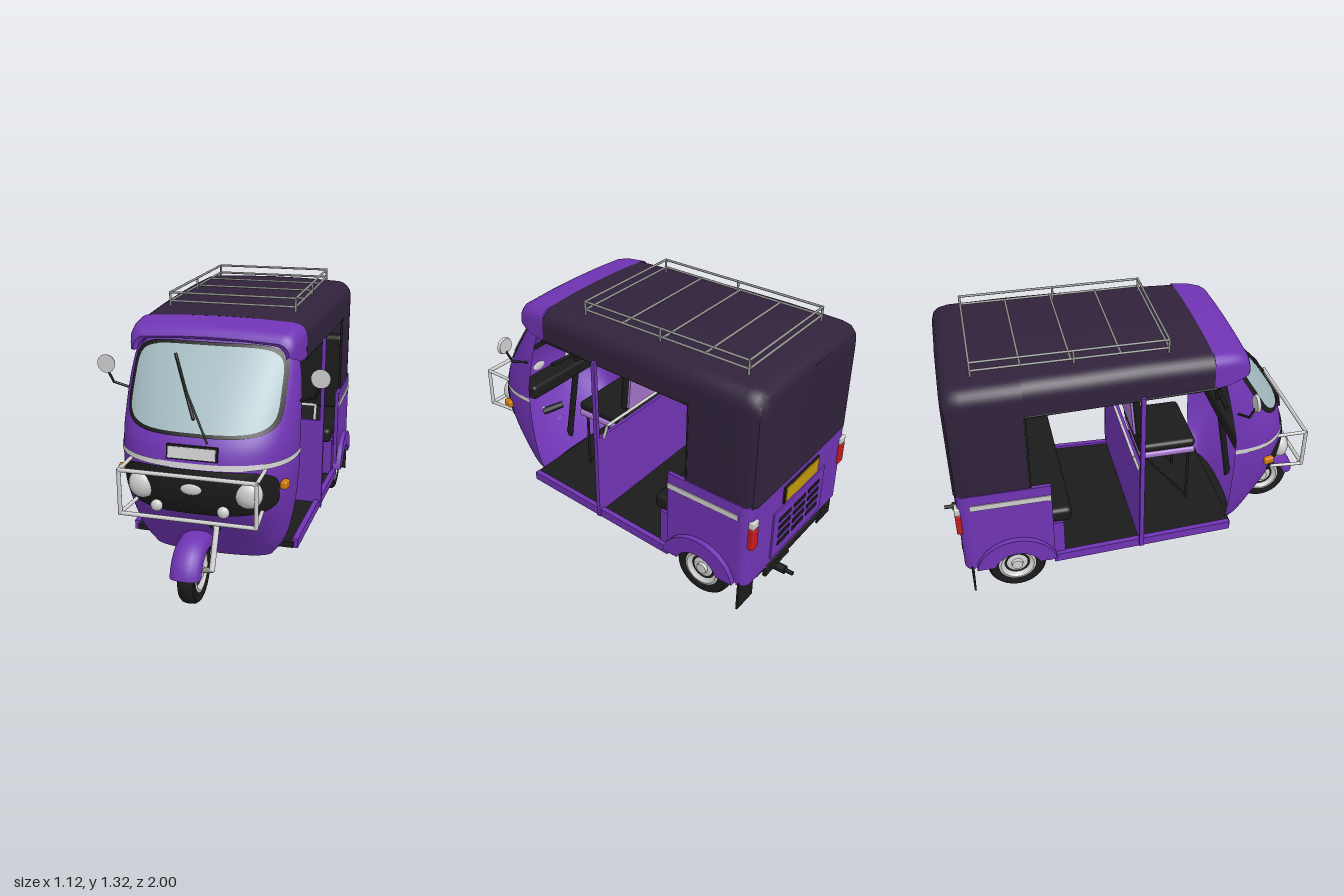
import * as THREE from 'three';
import { toCreasedNormals } from 'three/addons/utils/BufferGeometryUtils.js';
import { RoundedBoxGeometry } from 'three/addons/geometries/RoundedBoxGeometry.js';

const paint = (name, color) => new THREE.MeshStandardMaterial({ name, color, side: THREE.DoubleSide });
const V = (x, y, z) => new THREE.Vector3(x, y, z);

export function createModel() {
  const purple = paint('purple paint', 0x7034b4), canopy = paint('dark canopy', 0x30223b);
  const black = paint('black', 0x1b1b1b), silver = paint('silver', 0xcfcfcf), grey = paint('grey steel', 0x8e8e8e);
  const lavender = paint('lavender trim', 0xa777cc), glass = paint('glass', 0xa5bcc2);
  const yellow = paint('yellow plate', 0xc29a0c), red = paint('red lamp', 0xc81c1c), orange = paint('orange lamp', 0xd07c08);
  const model = new THREE.Group();
  model.name = 'threeWheeledTaxi';

  const add = (name, geo, mat, x = 0, y = 0, z = 0) => {
    const m = new THREE.Mesh(geo, mat);
    m.name = name;
    m.position.set(x, y, z);
    model.add(m);
    return m;
  };
  // box given by its x, y and z ranges
  const box = (name, mat, [x0, x1], [y0, y1], [z0, z1], r = 0) => {
    const s = [x1 - x0, y1 - y0, z1 - z0];
    return add(name, r ? new RoundedBoxGeometry(...s, 3, r) : new THREE.BoxGeometry(...s), mat, (x0 + x1) / 2, (y0 + y1) / 2, (z0 + z1) / 2);
  };
  // round bars along a list of points
  const rods = (name, mat, r, ...pts) => {
    for (let i = 0; i + 1 < pts.length; i++) {
      const a = V(...pts[i]), d = V(...pts[i + 1]).sub(a);
      const m = add(name, new THREE.CylinderGeometry(r, r, d.length() + r, 12), mat);
      m.position.copy(a).addScaledVector(d, 0.5);
      m.quaternion.setFromUnitVectors(V(0, 1, 0), d.normalize());
    }
  };
  // skin over rows of points
  const skin = (rows) => {
    const n = rows[0].length, idx = [];
    for (let j = 0; j + 1 < rows.length; j++) for (let i = 0; i + 1 < n; i++) {
      const a = j * n + i, b = a + n;
      idx.push(a, a + 1, b, a + 1, b + 1, b);
    }
    const g = new THREE.BufferGeometry().setFromPoints(rows.flat());
    g.setIndex(idx);
    return toCreasedNormals(g, 0.6);
  };
  const rows = (n, f) => Array.from({ length: n + 1 }, (_, i) => f(i / n));
  const sides = (f) => [1, -1].forEach(f);

  // Nose: half width and front z by height, plan is half a superellipse
  const nose = new THREE.CubicInterpolant(
    [0.12, 0.2, 0.3, 0.42, 0.5, 0.6, 0.68, 0.75, 0.8, 1.0, 1.12, 1.21],
    [0.30, 0.57, 0.355, 0.625, 0.385, 0.70, 0.405, 0.785, 0.413, 0.825, 0.42, 0.842, 0.42, 0.83, 0.42, 0.81,
      0.42, 0.782, 0.41, 0.64, 0.385, 0.548, 0.335, 0.485], 2, new Array(2));
  const noseBack = (y) => 0.485 - Math.max(0, y - 0.75) * 0.21;
  const P = 2.5;
  const nosePoint = (y, t, off = 0) => {
    const [w, f] = nose.evaluate(y), b = noseBack(y), c = Math.cos(t);
    return V(Math.sign(c) * Math.abs(c) ** (2 / P) * (w + off), y, b + (f - b + off) * Math.abs(Math.sin(t)) ** (2 / P));
  };
  const noseZ = (x, y) => {
    const [w, f] = nose.evaluate(y), b = noseBack(y);
    return b + (f - b) * Math.max(0, 1 - Math.abs(x / w) ** P) ** (1 / P);
  };
  const band = (y0, y1, n, off) => skin(rows(n, (v) => rows(72, (u) => nosePoint(y0 + (y1 - y0) * v, Math.PI * u, off))));
  // rounded panel lying on the nose
  const patch = (cy, hw, hh, off, n = 5) => skin(rows(26, (v) => rows(30, (u) => {
    const a = u * 2 - 1, b = v * 2 - 1, m = Math.max(Math.abs(a), Math.abs(b));
    const k = m ? m / (Math.abs(a) ** n + Math.abs(b) ** n) ** (1 / n) : 0;
    const x = a * k * hw, y = cy + b * k * hh;
    return V(x, y, noseZ(x, y) + off);
  })));
  add('noseShell', band(0.12, 1.21, 44, 0), purple);
  add('noseStripe', band(0.663, 0.688, 2, 0.005), silver);
  add('windscreenSeal', patch(0.98, 0.37, 0.185, 0.007), black);
  add('windscreen', patch(0.982, 0.35, 0.17, 0.013), glass);
  add('windscreenInside', patch(0.982, 0.35, 0.17, -0.012), glass);
  add('frontPanel', patch(0.545, 0.37, 0.117, 0.007, 4), black);
  add('noseFloor', skin([rows(40, (u) => nosePoint(0.122, Math.PI * u)), rows(40, () => V(0, 0.122, 0.485))]), black);

  // Front lamps, oval badge and number plate
  const ball = (name, mat, x, y, z, a, b, c) => add(name, new THREE.SphereGeometry(1, 28, 18), mat, x, y, z).scale.set(a, b, c);
  sides((s) => {
    ball('headlight', silver, s * 0.25, 0.55, 0.79, 0.066, 0.068, 0.05);
    ball('fogLight', silver, s * 0.155, 0.486, 0.87, 0.028, 0.028, 0.02);
    rods('fogLightStalk', black, 0.007, [s * 0.155, 0.486, 0.87], [s * 0.155, 0.486, 0.79]);
    const side = box('indicator', orange, [s * 0.392 - 0.016, s * 0.392 + 0.016], [0.552, 0.59], [0.655, 0.71], 0.01);
    side.rotation.y = -s * 0.2;
  });
  ball('ovalBadge', silver, 0, 0.57, 0.845, 0.05, 0.028, 0.012);
  box('frontPlateFrame', black, [-0.118, 0.118], [0.7, 0.767], [0.815, 0.83]).rotation.x = -0.2;
  box('frontPlate', silver, [-0.11, 0.11], [0.708, 0.759], [0.822, 0.834]).rotation.x = -0.2;

  // Bull bar
  rods('bullBar', silver, 0.01, [-0.315, 0.448, 0.91], [0.315, 0.448, 0.91], [0.315, 0.656, 0.91], [-0.315, 0.656, 0.91], [-0.315, 0.448, 0.91]);
  sides((s) => {
    rods('bullBarStay', silver, 0.009, [s * 0.315, 0.448, 0.91], [s * 0.3, 0.448, 0.74]);
    rods('bullBarStay', silver, 0.009, [s * 0.315, 0.656, 0.91], [s * 0.315, 0.656, 0.75]);
  });

  // Wiper and mirrors
  const onScreen = (x, y, d) => [x, y, noseZ(x, y) + d];
  rods('wiperArm', black, 0.004, onScreen(0.065, 0.78, 0.015), onScreen(-0.06, 0.97, 0.035), onScreen(-0.15, 1.11, 0.03));
  rods('wiperBlade', black, 0.007, onScreen(-0.15, 1.11, 0.025), onScreen(-0.08, 0.99, 0.025), onScreen(-0.012, 0.87, 0.025));
  sides((s) => {
    rods('mirrorArm', black, 0.006, [s * 0.4, 0.9, 0.48], [s * 0.49, 0.935, 0.51], [s * 0.515, 1.0, 0.525]);
    add('mirror', new THREE.CylinderGeometry(0.045, 0.04, 0.014, 32), silver, s * 0.515, 1.03, 0.528).rotation.x = Math.PI / 2;
  });

  // Roof: arched sections [z, half width, lower edge, top]
  const arch = ([z, a, yb, t], r = 0.085) => {
    const half = [V(a, yb, z)];
    for (let i = 0; i <= 8; i++) {
      const q = i / 8 * Math.PI / 2;
      half.push(V(a - r + r * Math.cos(q), t - 0.012 - r + r * Math.sin(q), z));
    }
    half.push(V((a - r) / 2, t - 0.003, z));
    return [...half, V(0, t, z), ...half.map((p) => V(-p.x, p.y, z)).reverse()];
  };
  const loft = (list, r) => list.map((s) => arch(s, r));
  add('visor', skin(loft([[0.35, 0.417, 1.07, 1.25], [0.44, 0.408, 1.08, 1.244], [0.5, 0.398, 1.1, 1.23], [0.528, 0.388, 1.11, 1.212],
    [0.54, 0.372, 1.118, 1.19], [0.53, 0.355, 1.12, 1.178], [0.44, 0.35, 1.1, 1.172]], 0.06)), purple);
  add('roof', skin(loft([[0.352, 0.418, 1.07, 1.251], [0, 0.435, 1.07, 1.258], [-0.3, 0.447, 1.07, 1.258], [-0.555, 0.455, 1.07, 1.256]])), canopy);
  const rear = loft([[-0.555, 0.455, 0.65, 1.256], [-0.83, 0.457, 0.65, 1.25], [-0.88, 0.452, 0.65, 1.242], [-0.907, 0.438, 0.65, 1.225],
    [-0.92, 0.41, 0.65, 1.195]]);
  add('rearCanopy', skin([...rear, rear[4].map((p) => V(0, p.y, -0.922))]), canopy);
  sides((s) => rods('roofEdge', black, 0.007, [s * 0.415, 1.073, 0.36], [s * 0.45, 1.073, -0.555], [s * 0.45, 0.66, -0.555]));

  // Roof rack
  const rx = 0.32, z0 = -0.77, z1 = 0.15;
  for (const y of [1.312, 1.27]) rods('rackRail', grey, 0.006, [-rx, y, z0], [rx, y, z0], [rx, y, z1], [-rx, y, z1], [-rx, y, z0]);
  for (const z of [-0.545, -0.314, -0.08]) rods('rackSlat', grey, 0.006, [-rx, 1.27, z], [rx, 1.27, z]);
  sides((s) => { for (const z of [z0, -0.3, z1]) rods('rackPost', grey, 0.006, [s * rx, 1.235, z], [s * rx, 1.312, z]); });

  // Floor, sills, door posts and partition
  const plan = new THREE.Shape([[0.4, 0.5], [0.44, 0], [0.44, -0.455], [0.33, -0.455], [0.33, -0.9], [-0.33, -0.9], [-0.33, -0.455],
    [-0.44, -0.455], [-0.44, 0], [-0.4, 0.5]].map(([x, z]) => new THREE.Vector2(x, -z)));
  add('floor', new THREE.ExtrudeGeometry(plan, { depth: 0.03, bevelEnabled: false }).rotateX(-Math.PI / 2), black, 0, 0.158);
  sides((s) => {
    const sill = box('sill', purple, [s * 0.428 - 0.014, s * 0.428 + 0.014], [0.155, 0.202], [-0.46, 0.49]);
    sill.rotation.y = -s * 0.045;
    box('doorPost', purple, [s * 0.443 - 0.01, s * 0.443 + 0.01], [0.16, 1.09], [-0.011, 0.011]);
  });
  box('partition', purple, [-0.435, 0.435], [0.18, 0.65], [-0.009, 0.009]);
  rods('grabRail', silver, 0.008, [-0.4, 0.64, -0.01], [-0.4, 0.72, -0.035], [0.4, 0.72, -0.035], [0.4, 0.64, -0.01]);

  // Driver seat and controls
  box('seatCushion', black, [-0.19, 0.19], [0.555, 0.607], [0.045, 0.352], 0.022);
  box('seatPan', lavender, [-0.19, 0.19], [0.518, 0.556], [0.05, 0.352], 0.015);
  box('seatBack', black, [-0.18, 0.18], [0.665, 0.955], [0.02, 0.06], 0.018).rotation.x = -0.09;
  box('seatBackPanel', lavender, [-0.165, 0.165], [0.675, 0.94], [0.008, 0.024]).rotation.x = -0.09;
  sides((s) => {
    const x = s * 0.15;
    rods('seatFrame', black, 0.008, [x, 0.19, 0.325], [x, 0.52, 0.325], [x, 0.52, 0.075], [x, 0.19, 0.075]);
    rods('seatBrace', black, 0.005, [x, 0.21, 0.315], [x, 0.51, 0.08]);
    rods('seatBackStay', black, 0.007, [x, 0.54, 0.06], [x, 0.7, 0.045]);
  });
  box('dashboard', black, [-0.37, 0.37], [0.64, 0.72], [0.5, 0.62], 0.02);
  rods('steeringColumn', black, 0.018, [0, 0.17, 0.62], [0, 0.78, 0.52]);
  rods('handlebar', black, 0.011, [-0.22, 0.8, 0.5], [0, 0.77, 0.525], [0.22, 0.8, 0.5]);

  // Passenger bench
  box('benchBase', purple, [-0.44, 0.44], [0.18, 0.395], [-0.46, -0.4]);
  box('benchCushion', black, [-0.435, 0.435], [0.39, 0.472], [-0.8, -0.355], 0.025);
  box('benchBack', black, [-0.435, 0.435], [0.46, 0.92], [-0.86, -0.78], 0.03);

  // Rear body sides with wheel arches
  const wz = -0.65, wy = 0.15, ri = 0.125, ro = 0.21, ai = Math.asin(0.05 / ri), ao = Math.asin(0.05 / ro);
  const wall = new THREE.Shape();
  wall.moveTo(-0.455, 0.2).lineTo(-0.455, 0.662).lineTo(-0.862, 0.662).lineTo(-0.862, 0.2);
  wall.absarc(wz, wy, ri, Math.PI - ai, ai, true);
  const lip = new THREE.Shape();
  lip.absarc(wz, wy, ro, ao, Math.PI - ao, false).absarc(wz, wy, ri, Math.PI - ai, ai, true);
  const slab = (shape, depth) => toCreasedNormals(new THREE.ExtrudeGeometry(shape, { depth, bevelEnabled: false, curveSegments: 32 })
    .rotateY(-Math.PI / 2).translate(depth / 2, 0, 0), 0.5);
  sides((s) => {
    add('rearSide', slab(wall, 0.02), purple, s * 0.452);
    add('wheelArch', slab(lip, 0.045), purple, s * 0.467);
    box('sideStripe', silver, [s * 0.463 - 0.004, s * 0.463 + 0.004], [0.575, 0.606], [-0.85, -0.457]);
    add('wheelWell', new THREE.CylinderGeometry(0.17, 0.17, 0.12, 32, 1, true, 0, Math.PI).rotateZ(Math.PI / 2), black, s * 0.39, wy, wz);
    box('mudFlap', black, [s * 0.398 - 0.067, s * 0.398 + 0.067], [0.04, 0.205], [-0.882, -0.872]);
    box('tailLamp', red, [s * 0.422 - 0.024, s * 0.422 + 0.024], [0.42, 0.54], [-0.926, -0.885], 0.006);
    box('reverseLamp', silver, [s * 0.422 - 0.024, s * 0.422 + 0.024], [0.54, 0.58], [-0.926, -0.885], 0.006);
  });

  // Tail with vents, plate and bumper
  const tailPlan = [];
  sides((s) => {
    const c = rows(8, (u) => [s * (0.412 + 0.05 * Math.cos(u * Math.PI / 2)), -0.862 - 0.05 * Math.sin(u * Math.PI / 2)]);
    tailPlan.push(...(s > 0 ? c : c.reverse()));
  });
  add('tail', skin([0.19, 0.662].map((y) => tailPlan.map(([x, z]) => V(x, y, z)))), purple);
  box('ventPanel', purple, [-0.245, 0.245], [0.225, 0.5], [-0.92, -0.91]);
  for (let i = 0; i < 3; i++) for (let j = 0; j < 4; j++) {
    const x = (i - 1) * 0.14, y = 0.29 + j * 0.048;
    box('ventSlot', black, [x - 0.055, x + 0.055], [y - 0.011, y + 0.011], [-0.924, -0.918]);
  }
  box('rearPlateFrame', black, [-0.165, 0.165], [0.515, 0.61], [-0.921, -0.91]);
  box('rearPlate', yellow, [-0.155, 0.155], [0.523, 0.602], [-0.926, -0.92]);
  box('rearBumper', black, [-0.28, 0.28], [0.15, 0.195], [-0.92, -0.88], 0.01);

  // Engine, axle and exhaust
  box('engine', black, [-0.165, 0.235], [0.088, 0.165], [-0.84, -0.49], 0.02);
  rods('rearAxle', black, 0.02, [-0.38, wy, wz], [0.38, wy, wz]);
  rods('exhaust', black, 0.023, [0.145, 0.1, -0.8], [0.145, 0.1, -0.945]);
  rods('exhaustTip', black, 0.011, [0.145, 0.1, -0.94], [0.145, 0.1, -0.994]);
  rods('hitchBar', black, 0.012, [0.04, 0.12, -0.9], [0.25, 0.12, -0.9]);

  // Wheels: lathed tyre and dished rim
  const lathe = (pts, start = 0, len = Math.PI * 2) => toCreasedNormals(new THREE.LatheGeometry(
    pts.map(([r, x]) => new THREE.Vector2(r, x)), 48, start, len).rotateZ(Math.PI / 2), 0.6);
  const wheel = (x, z) => {
    add('tyre', lathe([[0.09, -0.034], [0.12, -0.041], [0.138, -0.037], [0.148, -0.024], [0.151, 0], [0.148, 0.024], [0.138, 0.037], [0.12, 0.041], [0.09, 0.034]]), black, x, 0.151, z);
    sides((s) => {
      add('rim', lathe([[0.095, s * 0.036], [0.085, s * 0.039], [0.072, s * 0.024], [0.066, s * 0.022]]), silver, x, 0.151, z);
      add('rimRing', lathe([[0.067, s * 0.022], [0.052, s * 0.021]]), black, x, 0.151, z);
      add('hub', lathe([[0.053, s * 0.022], [0.03, s * 0.026], [0.027, s * 0.042], [0, s * 0.044]]), silver, x, 0.151, z);
    });
  };
  wheel(0, 0.82);
  sides((s) => wheel(s * 0.4, wz));

  // Front mudguard and single-sided fork
  add('frontMudguard', lathe([[0.12, -0.07], [0.155, -0.068], [0.172, -0.055], [0.183, -0.03], [0.185, 0], [0.183, 0.03], [0.172, 0.055], [0.155, 0.068], [0.12, 0.07]], 0.2, 2.25), purple, 0, 0.153, 0.818);
  rods('frontFork', silver, 0.014, [0.085, 0.165, 0.82], [0.085, 0.35, 0.735]);
  rods('frontAxle', grey, 0.012, [0, 0.151, 0.82], [0.085, 0.165, 0.82]);
  rods('forkHead', black, 0.02, [0.085, 0.34, 0.73], [0, 0.36, 0.68]);
  return model;
}
